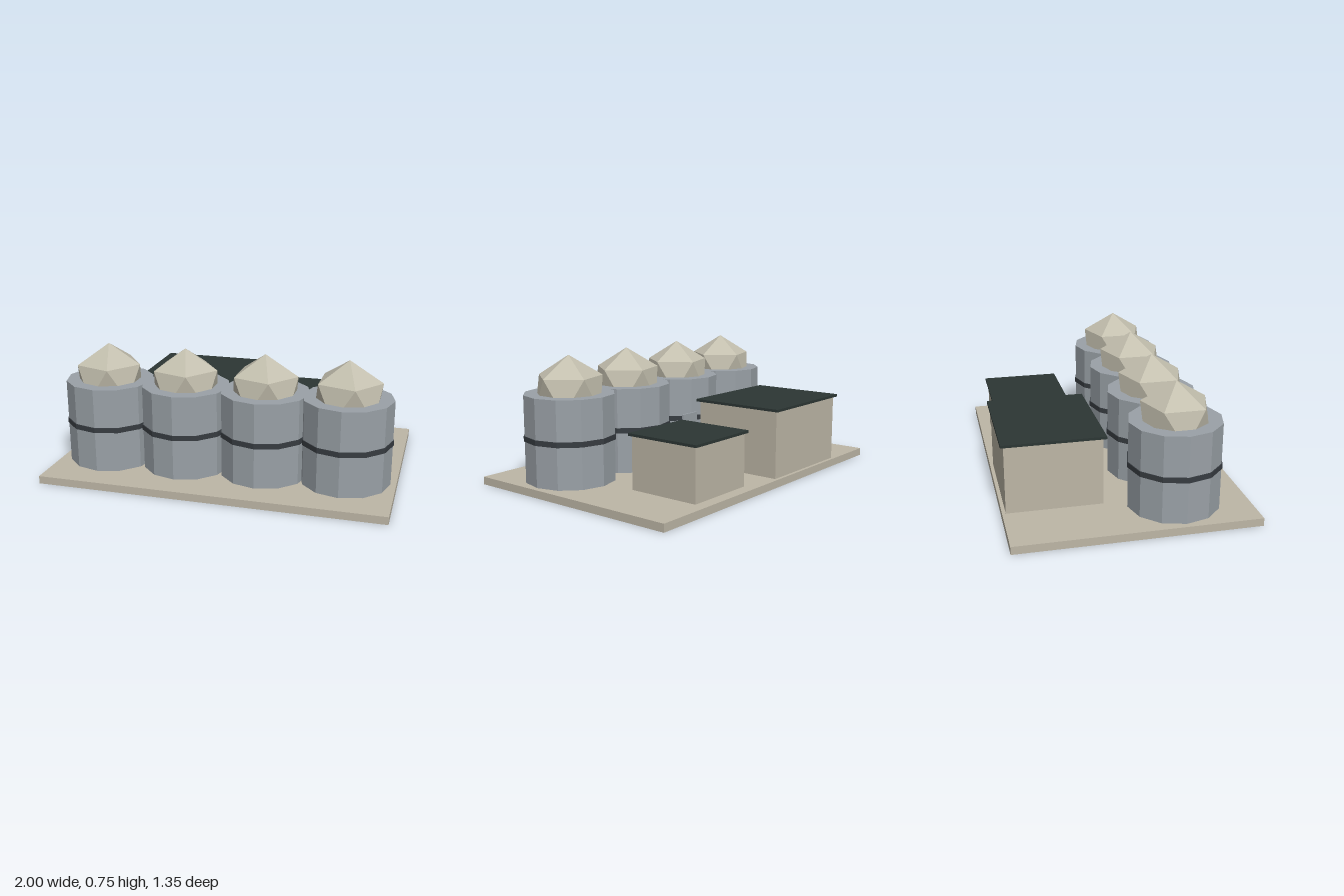
import * as THREE from 'three';

const mat = (name, color) => {
  const m = new THREE.MeshStandardMaterial({ color });
  m.name = name;
  return m;
};

export function createModel() {
  const concrete = mat('concrete', 0xbdb6a6);
  const domeStone = mat('dome stone', 0xc3bfae);
  const steel = mat('steel', 0x9aa1a7);
  const darkBand = mat('dark band', 0x373c41);
  const roofing = mat('roofing', 0x2c3634);
  [domeStone, steel, darkBand].forEach((m) => { m.flatShading = true; });

  const group = new THREE.Group();
  group.name = 'siloYard';

  const add = (parent, name, geometry, material) => {
    const mesh = new THREE.Mesh(geometry, material);
    mesh.name = name;
    parent.add(mesh);
    return mesh;
  };

  // Box given by its limits on each axis
  const addBox = (parent, name, [x0, x1], [y0, y1], [z0, z1], material) => {
    const mesh = add(parent, name, new THREE.BoxGeometry(x1 - x0, y1 - y0, z1 - z0), material);
    mesh.position.set((x0 + x1) / 2, (y0 + y1) / 2, (z0 + z1) / 2);
    return mesh;
  };

  // Ground slab
  const ground = 0.045;
  addBox(group, 'baseSlab', [-1, 1], [0, ground], [-0.676, 0.676], concrete);

  // Row of four banded silos
  const top = 0.54;
  const body = new THREE.CylinderGeometry(0.258, 0.258, top - ground, 12);
  const band = new THREE.CylinderGeometry(0.263, 0.263, 0.03, 12);
  // Icosahedron turned to stand on a corner
  const dome = new THREE.IcosahedronGeometry(0.213, 0);
  dome.rotateZ(-Math.atan2(1, (1 + Math.sqrt(5)) / 2));
  for (let i = 0; i < 4; i++) {
    const silo = new THREE.Group();
    silo.name = `silo${i + 1}`;
    silo.position.set((i - 1.5) * 0.473, 0, 0.258);
    add(silo, 'siloBody', body, steel).position.y = (ground + top) / 2;
    add(silo, 'siloBand', band, darkBand).position.y = 0.297;
    add(silo, 'siloDome', dome, domeStone).position.y = top;
    group.add(silo);
  }

  // Flat-roofed buildings behind the silos
  const addBuilding = (name, x, z, roofY, overhang) => {
    const building = new THREE.Group();
    building.name = name;
    const inset = ([a, b]) => [a + overhang, b - overhang];
    addBox(building, 'walls', inset(x), [ground, roofY + 0.002], inset(z), concrete);
    addBox(building, 'roof', x, [roofY, roofY + 0.015], z, roofing);
    group.add(building);
  };
  addBuilding('largeBuilding', [-0.664, 0.014], [-0.673, -0.102], 0.434, 0.017);
  addBuilding('smallBuilding', [0.218, 0.682], [-0.62, -0.157], 0.346, 0.015);

  // Thin panel between the buildings
  addBox(group, 'panel', [0.042, 0.17], [0.238, 0.378], [-0.126, -0.114], steel);

  return group;
}
